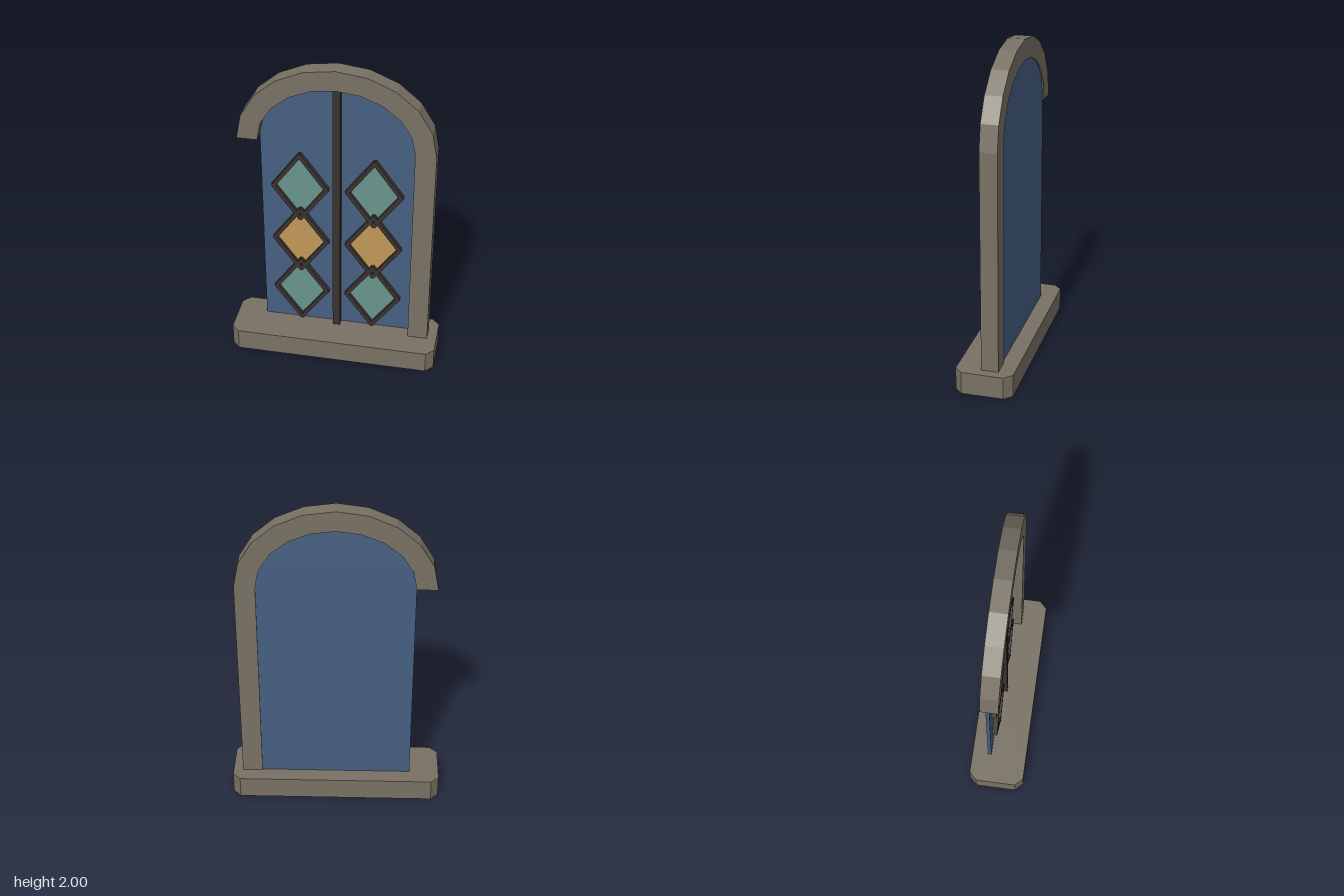
import * as THREE from 'three';

const mat = (name, color) => {
  const m = new THREE.MeshStandardMaterial({ color });
  m.name = name;
  return m;
};

// Points on the half ellipse of the arch, from right to left
const SPRING = 1.5;
function archPoints(rx, ry, segments) {
  return Array.from({ length: segments + 1 }, (_, i) => {
    const a = (i / segments) * Math.PI;
    return new THREE.Vector2(rx * Math.cos(a), SPRING + ry * Math.sin(a));
  });
}

// Flat outline in x/y, extruded between two z values
function slab(name, points, zBack, zFront, material) {
  const geo = new THREE.ExtrudeGeometry(new THREE.Shape(points), {
    depth: zFront - zBack, bevelEnabled: false,
  });
  geo.translate(0, 0, zBack);
  const mesh = new THREE.Mesh(geo, material);
  mesh.name = name;
  return mesh;
}

export function createModel() {
  const stone = mat('stone', 0x797164);
  const blue = mat('blueGlass', 0x466082);
  const teal = mat('tealGlass', 0x69958b);
  const amber = mat('amberGlass', 0xc29757);
  const lead = mat('darkLead', 0x3a322f);
  const v = (x, y) => new THREE.Vector2(x, y);

  const model = new THREE.Group();
  model.name = 'archedWindow';

  // Sill with cut corners
  const X = 0.655, Z = 0.177, c = 0.048;
  const sill = slab('sill', [
    v(X - c, -Z), v(X, -Z + c), v(X, Z - c), v(X - c, Z),
    v(-X + c, Z), v(-X, Z - c), v(-X, -Z + c), v(-X + c, -Z),
  ], 0, 0.14, stone);
  sill.geometry.rotateX(-Math.PI / 2);
  model.add(sill);

  // Arch with a single jamb on the +x side
  model.add(slab('archFrame', [
    v(0.47, 0.14), v(0.595, 0.14),
    ...archPoints(0.595, 0.5, 10),
    ...archPoints(0.47, 0.375, 10).reverse(),
  ], -0.083, 0.023, stone));

  // Blue glass sheet
  model.add(slab('glassSheet', [
    v(-0.47, 0.14), v(0.47, 0.14), ...archPoints(0.47, 0.375, 16),
  ], -0.075, -0.052, blue));

  // Centre mullion
  const mullion = new THREE.Mesh(new THREE.BoxGeometry(0.046, 1.725, 0.045), lead);
  mullion.position.set(0, 1.0025, -0.0305);
  mullion.name = 'mullion';
  model.add(mullion);

  // Diamond panes, each edged by four lead bars
  const a = 0.164, b = 0.226;
  const barGeo = new THREE.BoxGeometry(Math.hypot(a, b) + 0.012, 0.025, 0.03);
  const addDiamond = (x, y, glass, zFront) => {
    const diamond = new THREE.Group();
    diamond.name = 'diamond';
    diamond.position.set(x, y, 0);
    diamond.add(slab('pane', [v(a, 0), v(0, b), v(-a, 0), v(0, -b)], zFront - 0.008, zFront, glass));
    for (const sx of [-1, 1]) for (const sy of [-1, 1]) {
      const bar = new THREE.Mesh(barGeo, lead);
      bar.name = 'leadBar';
      bar.position.set(sx * a / 2, sy * b / 2, -0.037);
      bar.rotation.z = -sx * sy * Math.atan2(b, a);
      diamond.add(bar);
    }
    model.add(diamond);
  };
  for (const x of [-0.228, 0.228]) {
    addDiamond(x, 1.16, teal, -0.046);
    addDiamond(x, 0.772, amber, -0.044);
    addDiamond(x, 0.388, teal, -0.046);
  }
  return model;
}
